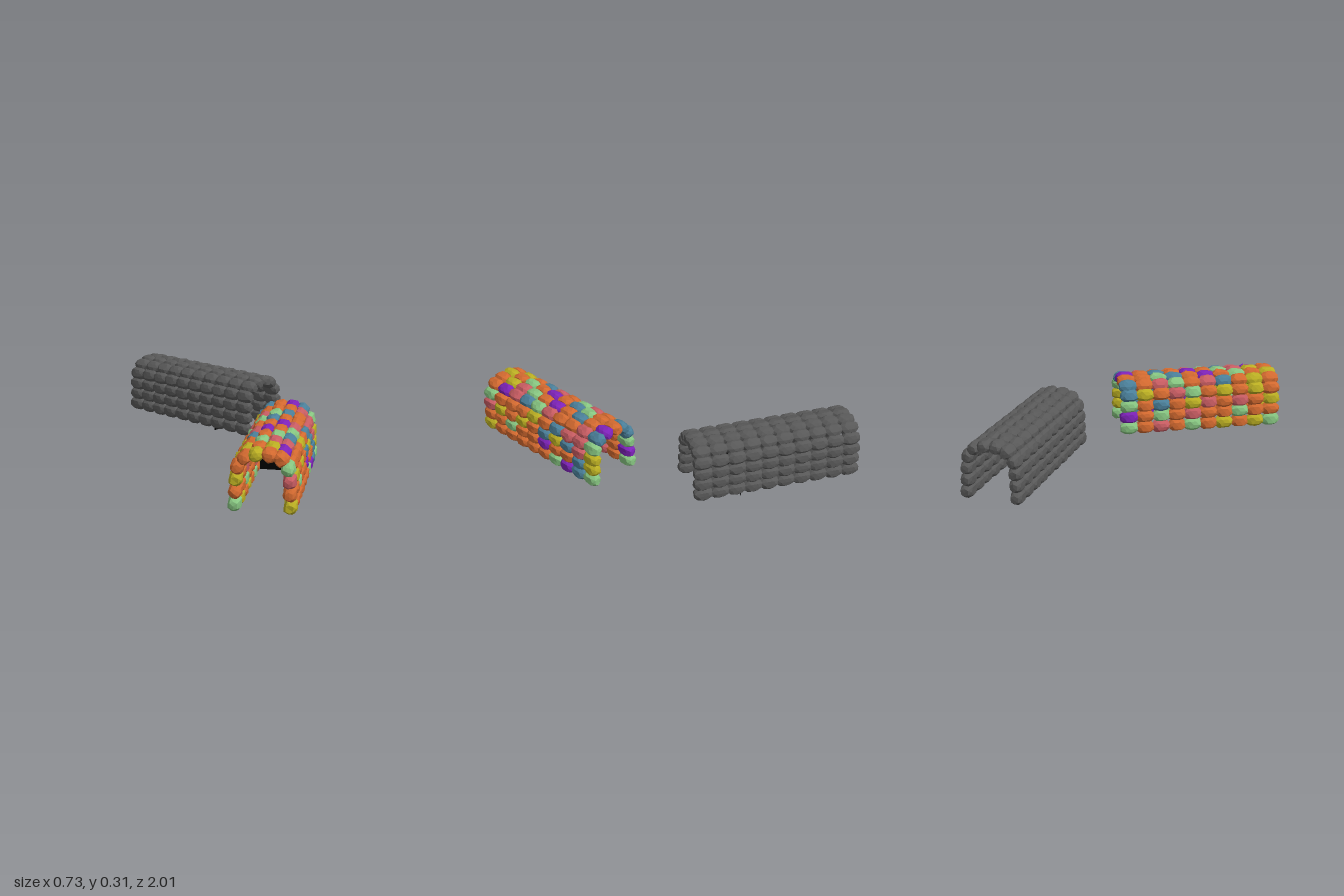
import * as THREE from 'three';

// small seeded generator for the irregular stones
function seeded(seed) {
  return () => {
    seed = (seed * 16807) % 2147483647;
    return seed / 2147483647;
  };
}

// chipped, rounded block: a sphere pushed towards a box, each corner nudged
function stoneGeometry(seed, thick, tall, long, rough) {
  const rand = seeded(seed);
  const geo = new THREE.IcosahedronGeometry(1, 1);
  const pos = geo.attributes.position;
  const moved = new Map();
  const v = new THREE.Vector3();
  for (let i = 0; i < pos.count; i++) {
    v.fromBufferAttribute(pos, i);
    const key = v.toArray().map((n) => Math.round(n * 100)).join();
    if (!moved.has(key)) {
      const r = (v.x ** 4 + v.y ** 4 + v.z ** 4) ** -0.25;
      const k = r * (1 + (rand() - 0.5) * rough);
      moved.set(key, new THREE.Vector3(v.x * k * thick / 2, v.y * k * tall / 2, v.z * k * long / 2));
    }
    v.copy(moved.get(key));
    pos.setXYZ(i, v.x, v.y, v.z);
  }
  geo.computeVertexNormals();
  return geo;
}

// half arch, bottom to crown: offset from the middle, height, inward tilt
const COURSES = [
  [0.124, 0.036, 0],
  [0.121, 0.094, 0.03],
  [0.119, 0.152, 0.05],
  [0.112, 0.208, 0.25],
  [0.080, 0.250, 0.85],
  [0.030, 0.266, 1.4],
];
const RINGS = 10;
const PITCH = 0.086;

const PALETTE = { O: 0xd2692f, Y: 0xb9ad22, G: 0x86c480, B: 0x4a7f99, R: 0xc75c62, P: 0x7d22b8, K: 0x585858 };
const materials = {};
for (const [key, color] of Object.entries(PALETTE)) {
  materials[key] = new THREE.MeshStandardMaterial({ color, flatShading: true });
}

// colours of each course from the front end to the back end
const LEFT_COLOURS = ['YOOOOOGPBG', 'OOGOOPOOBY', 'RYOYOBYBRY', 'GOOOYOBRRG', 'OPRBGROORB', 'OYRGOPOBOP'];
const RIGHT_COLOURS = ['GYOYOGOROG', 'OOGOOROGOP', 'YORORYOBOG', 'OYOYOGROYB', 'OYOBROGROB', 'YOGOPOBGOO'];

function buildTunnel(name, { lift, rough, colours, wallZ, wallWidth, seed }) {
  const tunnel = new THREE.Group();
  tunnel.name = name;
  const stones = [1, 2, 3, 4].map((n) => stoneGeometry(seed + n * 977, 0.058, 0.064, 0.094, rough));

  // stone courses on both sides
  for (const side of [1, -1]) {
    COURSES.forEach(([x, y, tilt], row) => {
      const course = new THREE.Group();
      course.name = `${side > 0 ? 'left' : 'right'}Course${row + 1}`;
      for (let i = 0; i < RINGS; i++) {
        const key = colours ? (side > 0 ? colours[0] : colours[1])[row][i] : 'K';
        const stone = new THREE.Mesh(stones[(i * 3 + row + (side > 0 ? 0 : 2)) % 4], materials[key]);
        stone.name = 'stone';
        stone.position.set(side * x, y + lift, ((RINGS - 1) / 2 - i) * PITCH);
        stone.rotation.z = side * tilt;
        course.add(stone);
      }
      tunnel.add(course);
    });
  }

  // dark partition across the passage
  const w = wallWidth / 2;
  const outline = new THREE.Shape();
  outline.moveTo(-w, 0.002);
  outline.lineTo(w, 0.002);
  outline.lineTo(0.11, 0.2);
  outline.lineTo(0.075, 0.25);
  outline.lineTo(-0.075, 0.25);
  outline.lineTo(-0.11, 0.2);
  const wall = new THREE.Mesh(
    new THREE.ShapeGeometry(outline),
    new THREE.MeshStandardMaterial({ color: 0x000000, side: THREE.DoubleSide })
  );
  wall.name = 'darkPartition';
  wall.position.z = wallZ;
  tunnel.add(wall);
  return tunnel;
}

export function createModel() {
  const model = new THREE.Group();
  model.name = 'tunnelPair';

  const front = buildTunnel('colouredTunnel', {
    lift: 0, rough: 0.16, colours: [LEFT_COLOURS, RIGHT_COLOURS], wallZ: -0.18, wallWidth: 0.24, seed: 11,
  });
  front.position.set(-0.018, 0, 0.56);
  front.rotation.y = -0.55;

  const back = buildTunnel('greyTunnel', {
    lift: 0.015, rough: 0.08, colours: null, wallZ: 0.19, wallWidth: 0.26, seed: 53,
  });
  back.position.set(0.03, 0, -0.555);
  back.rotation.y = 0.5;

  model.add(front, back);
  return model;
}
